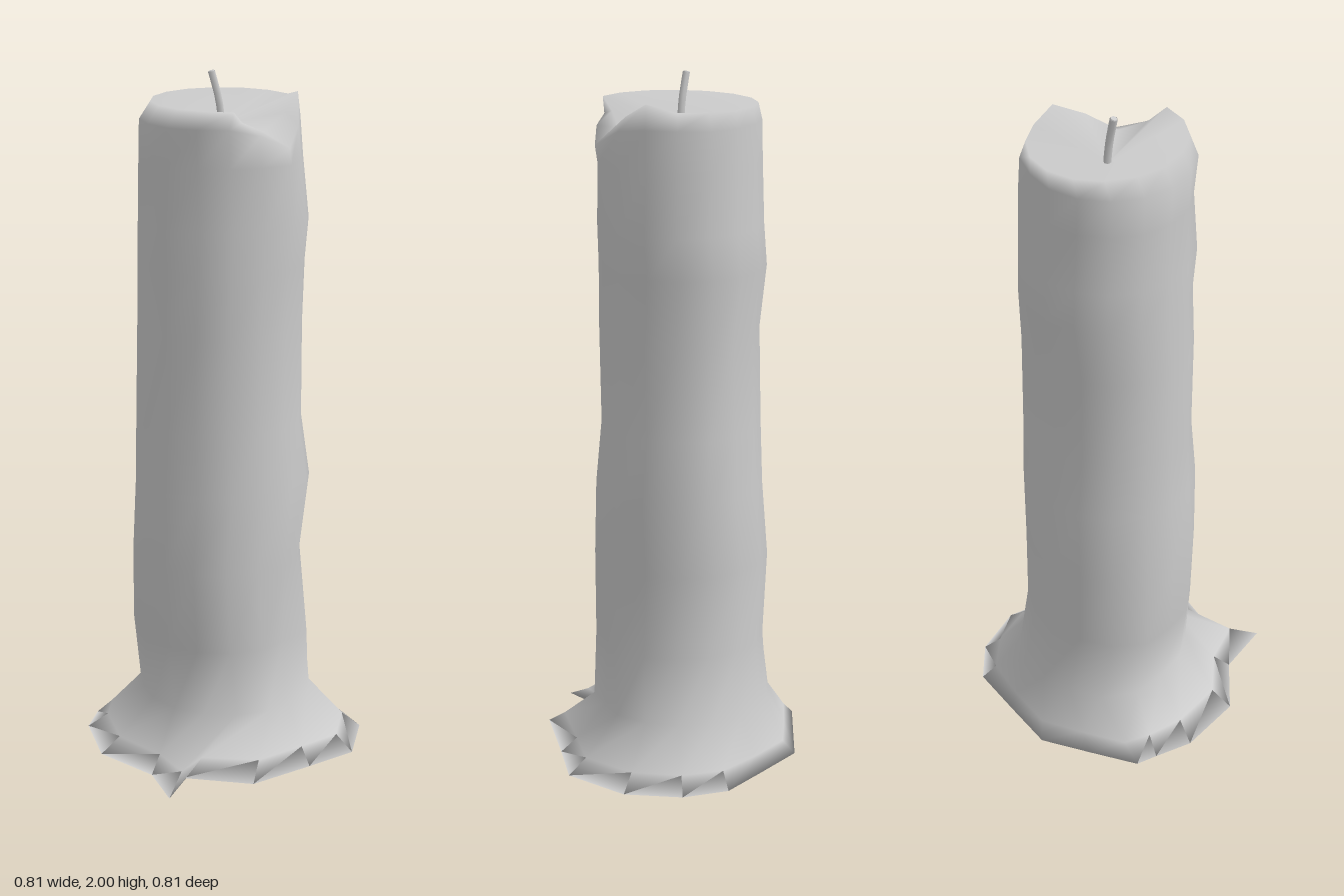
import * as THREE from 'three';

const N = 16;
const wax = new THREE.MeshStandardMaterial({ color: 0xcccccc, side: THREE.DoubleSide });

// Horizontal section given by its extents; column 0 is +x, turning towards +z
function section(y, x0, x1, z0, z1) {
  return Array.from({ length: N }, (_, i) => {
    const a = (i / N) * Math.PI * 2;
    return new THREE.Vector3(
      (x0 + x1) / 2 + Math.cos(a) * (x1 - x0) / 2, y,
      (z0 + z1) / 2 + Math.sin(a) * (z1 - z0) / 2);
  });
}

// Smooth closed skin over stacked rings, with a centre point at each end
function loft(bottom, rings, top) {
  const points = [...rings.flat(), bottom, top];
  const b0 = rings.length * N, t0 = b0 + 1, last = (rings.length - 1) * N;
  const index = [];
  for (let i = 0; i < N; i++) {
    const j = (i + 1) % N;
    index.push(b0, i, j, t0, last + j, last + i);
    for (let r = 0; r < last; r += N) {
      index.push(r + i, r + i + N, r + j, r + j, r + i + N, r + j + N);
    }
  }
  const geo = new THREE.BufferGeometry().setFromPoints(points);
  geo.setIndex(index);
  geo.computeVertexNormals();
  return geo;
}

export function createModel() {
  const group = new THREE.Group();
  group.name = 'candle';

  // Puddle outline of melted wax, with one pointed splash
  const foot = [
    [0.405, 0.012, -0.075], [0.35, 0.012, 0.125], [0.21, 0.015, 0.22], [0.03, 0.025, 0.35],
    [-0.165, 0.025, 0.285], [-0.215, 0.015, 0.4], [-0.25, 0.015, 0.23], [-0.385, 0.025, 0.085],
    [-0.41, 0.03, -0.12], [-0.375, 0.03, -0.23], [-0.35, 0.02, -0.285], [-0.21, 0.015, -0.345],
    [-0.07, 0.012, -0.405], [0.1, 0.012, -0.37], [0.26, 0.012, -0.335], [0.355, 0.012, -0.235],
  ].map(p => new THREE.Vector3(...p));

  // Shaft sections: y, x range, z range
  const body = [
    [0.17, -0.245, 0.248, -0.325, 0.185],
    [0.36, -0.265, 0.232, -0.3, 0.185],
    [0.6, -0.275, 0.215, -0.308, 0.195],
    [0.82, -0.265, 0.242, -0.295, 0.178],
    [1.0, -0.262, 0.217, -0.285, 0.167],
    [1.28, -0.257, 0.217, -0.28, 0.172],
    [1.46, -0.254, 0.225, -0.303, 0.17],
    [1.58, -0.252, 0.235, -0.295, 0.17],
    [1.76, -0.249, 0.217, -0.287, 0.168],
    [1.87, -0.247, 0.208, -0.284, 0.178],
  ].map(s => section(...s));

  // Wax runs and hollows: row, column, outward scale
  const runs = [
    [0, 2, 0.92], [1, 2, 0.92], [1, 1, 1.05], [2, 2, 1.04], [1, 9, 1.09], [0, 9, 1.1],
    [0, 10, 1.1], [1, 10, 1.05], [2, 9, 1.04], [1, 6, 0.98], [2, 6, 0.96], [3, 6, 1.03],
    [4, 6, 0.99], [7, 6, 1.05], [9, 6, 1.02], [2, 14, 1.03], [4, 14, 1.07], [5, 14, 1.08],
    [6, 14, 1.02], [8, 14, 1.05], [9, 14, 1.06], [7, 2, 1.04], [8, 2, 1.07], [9, 2, 1.08],
  ];
  for (const [r, c, k] of runs) {
    const p = body[r][c];
    p.x = -0.02 + (p.x + 0.02) * k;
    p.z = -0.06 + (p.z + 0.06) * k;
  }

  // Shoulder dips below the notch in the rim
  const shoulder = body[body.length - 1];
  shoulder[1].y = 1.86;
  shoulder[2].y = 1.81;
  shoulder[3].y = 1.85;

  // Rim with a melted V-shaped notch
  const rim = section(1.92, -0.215, 0.2, -0.28, 0.177);
  rim[0].y = 1.94;
  rim[1].set(0.155, 1.895, 0.03);
  rim[2].set(0.085, 1.85, 0.085);
  rim[3].set(0.02, 1.885, 0.135);

  // Raised lip between puddle edge and shaft
  const lip = foot.map((p, i) => {
    const q = p.clone().lerp(body[0][i], 0.35);
    q.y = p.y + 0.045;
    return q;
  });

  const candle = new THREE.Mesh(loft(
    new THREE.Vector3(-0.02, 0, -0.06),
    [foot, lip, ...body, rim],
    new THREE.Vector3(-0.015, 1.85, -0.06)), wax);
  candle.name = 'waxBody';
  group.add(candle);

  // Bent wick
  const path = new THREE.CatmullRomCurve3([
    new THREE.Vector3(-0.012, 1.84, -0.06),
    new THREE.Vector3(-0.022, 1.92, -0.06),
    new THREE.Vector3(-0.042, 1.998, -0.064),
  ]);
  const wick = new THREE.Group();
  wick.name = 'wick';
  const stem = new THREE.Mesh(new THREE.TubeGeometry(path, 5, 0.011, 6), wax);
  stem.name = 'wickStem';
  const tip = new THREE.Mesh(new THREE.CylinderGeometry(0.009, 0.011, 0.004, 6), wax);
  tip.name = 'wickTip';
  tip.position.set(-0.042, 1.998, -0.064);
  tip.rotation.z = 0.25;
  wick.add(stem, tip);
  group.add(wick);

  return group;
}
